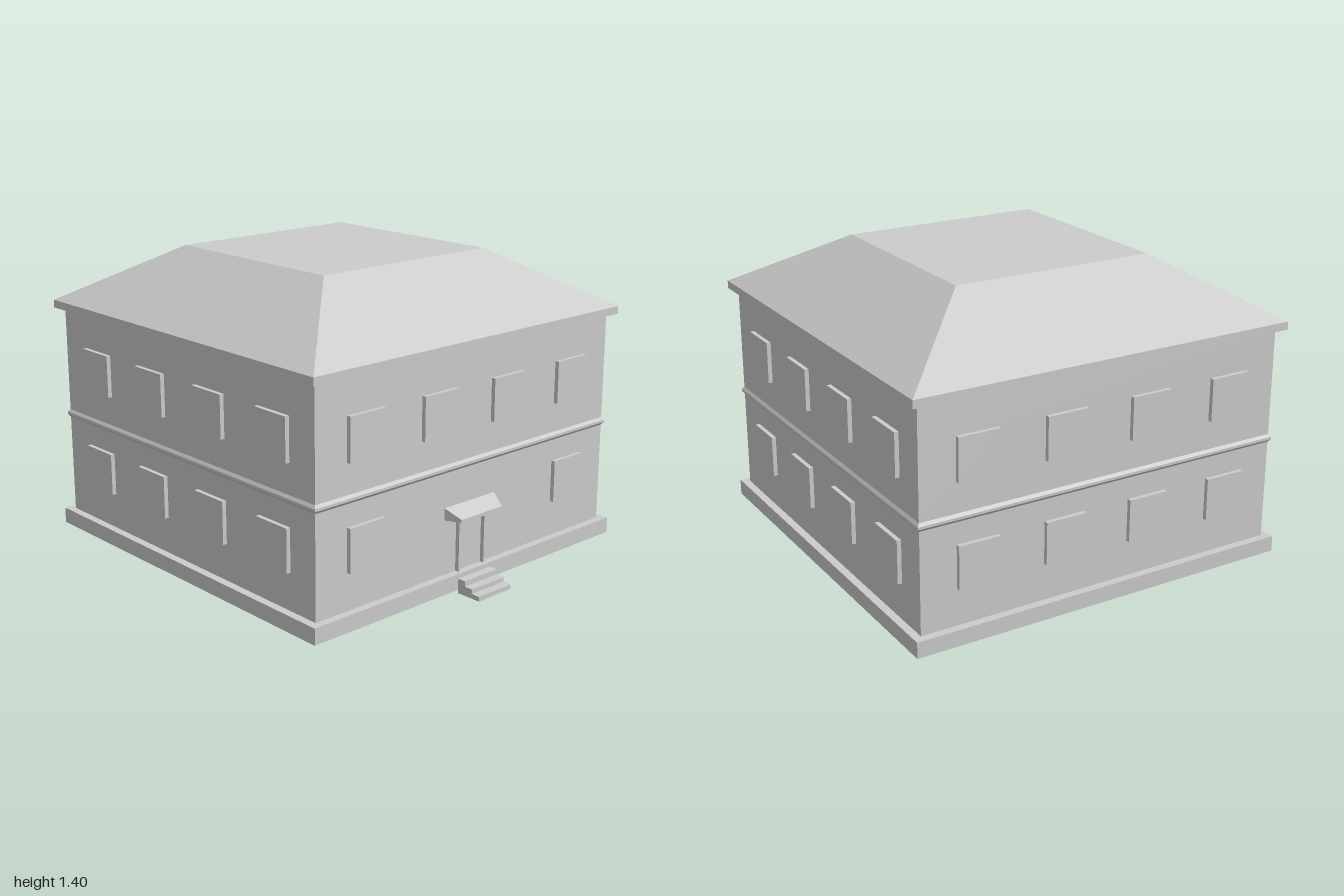
import * as THREE from 'three';

const HALF = 0.9;     // half width of the square walls
const CZ = -0.0625;   // centre of the house in z
const DEPTH = 0.02;   // how far windows and door frame stand out
const material = new THREE.MeshStandardMaterial({ color: 0xcccccc, side: THREE.DoubleSide, flatShading: true });

function add(parent, name, geometry, x = 0, y = 0, z = 0) {
  const mesh = new THREE.Mesh(geometry, material);
  mesh.name = name;
  mesh.position.set(x, y, z);
  parent.add(mesh);
  return mesh;
}

// Square hollow band that follows a profile of [half width, height]
function squareBand(profile) {
  const points = profile.map(([h, y]) => new THREE.Vector2(h * Math.SQRT2, y));
  const geometry = new THREE.LatheGeometry(points, 4, Math.PI / 4).toNonIndexed();
  geometry.computeVertexNormals();
  return geometry;
}

// Box without its back face
function openBox(w, h, d) {
  const geometry = new THREE.BoxGeometry(w, h, d);
  geometry.setIndex(Array.from(geometry.index.array).slice(0, 30));
  return geometry;
}

function rectangle(Type, x0, y0, x1, y1) {
  return new Type([[x0, y0], [x1, y0], [x1, y1], [x0, y1]].map(([x, y]) => new THREE.Vector2(x, y)));
}

// One storey of one wall, with hollow windows standing out of it
function addStorey(side, y0, y1, windowY, windowXs) {
  const wall = rectangle(THREE.Shape, -HALF, y0, HALF, y1);
  const r = 0.099;
  for (const x of windowXs) {
    wall.holes.push(rectangle(THREE.Path, x - r, windowY - r, x + r, windowY + r));
    add(side, 'window', openBox(2 * r, 2 * r, DEPTH), x, windowY, HALF + DEPTH / 2);
  }
  add(side, 'wall', new THREE.ShapeGeometry(wall), 0, 0, HALF);
}

// Canopy: a block that tapers towards its front edge
function canopyGeometry() {
  const geometry = new THREE.BoxGeometry(0.315, 0.055, 0.075);
  const p = geometry.attributes.position;
  for (let i = 0; i < p.count; i++) {
    if (p.getZ(i) < 0) continue;
    p.setX(i, Math.sign(p.getX(i)) * 0.128);
    if (p.getY(i) > 0) p.setY(i, -0.0125);
  }
  geometry.computeVertexNormals();
  return geometry;
}

export function createModel() {
  const model = new THREE.Group();
  model.name = 'house';
  const house = new THREE.Group();
  house.name = 'building';
  house.position.z = CZ;
  model.add(house);

  // Hollow bands around the house
  add(house, 'plinth', squareBand([[0.9375, 0.015], [0.9375, 0.09], [HALF, 0.09]]));
  add(house, 'beltCourse', squareBand([[HALF, 0.56], [0.91, 0.573], [0.91, 0.585], [HALF, 0.598]]));
  add(house, 'roof', squareBand([[HALF, 1.1], [0.9375, 1.1], [0.9375, 1.137], [0.4875, 1.405]]));
  add(house, 'roofDeck', new THREE.PlaneGeometry(0.975, 0.975).rotateX(-Math.PI / 2), 0, 1.405, 0);

  // Four walls; the front ground floor leaves room for the door
  const xs = [-0.63, -0.207, 0.22, 0.645];
  ['front', 'left', 'back', 'right'].forEach((name, i) => {
    const side = new THREE.Group();
    side.name = name + 'Side';
    side.rotation.y = i * Math.PI / 2;
    house.add(side);
    addStorey(side, 0.09, 0.56, 0.36, i === 0 ? [xs[0], xs[3]] : xs);
    addStorey(side, 0.598, 1.1, 0.835, xs);
  });

  // Entrance
  const entrance = new THREE.Group();
  entrance.name = 'entrance';
  model.add(entrance);
  const wallZ = HALF + CZ;
  for (const s of [-1, 1]) {
    add(entrance, 'doorJamb', new THREE.BoxGeometry(0.01, 0.255, DEPTH), s * 0.08, 0.2175, wallZ + DEPTH / 2);
  }
  add(entrance, 'doorLintel', new THREE.BoxGeometry(0.15, 0.01, DEPTH), 0, 0.34, wallZ + DEPTH / 2);
  add(entrance, 'canopy', canopyGeometry(), -0.002, 0.3725, wallZ + 0.0375);

  // Hollow steps: a folded sheet of treads and risers between two cheeks
  const steps = [[1, 0], [1, 0.022], [0.957, 0.022], [0.957, 0.043], [0.915, 0.043], [0.915, 0.068], [0.875, 0.068]];
  const w = 0.103;
  for (let i = 1; i < steps.length; i++) {
    const [z0, y0] = steps[i - 1], [z1, y1] = steps[i];
    const part = new THREE.PlaneGeometry(2 * w, Math.hypot(z1 - z0, y1 - y0));
    if (y0 === y1) part.rotateX(-Math.PI / 2);
    add(entrance, y0 === y1 ? 'tread' : 'riser', part, 0, (y0 + y1) / 2, (z0 + z1) / 2);
  }
  const cheek = new THREE.Shape([...steps, [0.875, 0]].map(([z, y]) => new THREE.Vector2(-z, y)));
  for (const s of [-1, 1]) {
    add(entrance, 'stepCheek', new THREE.ShapeGeometry(cheek).rotateY(Math.PI / 2), s * w, 0, 0);
  }
  return model;
}
